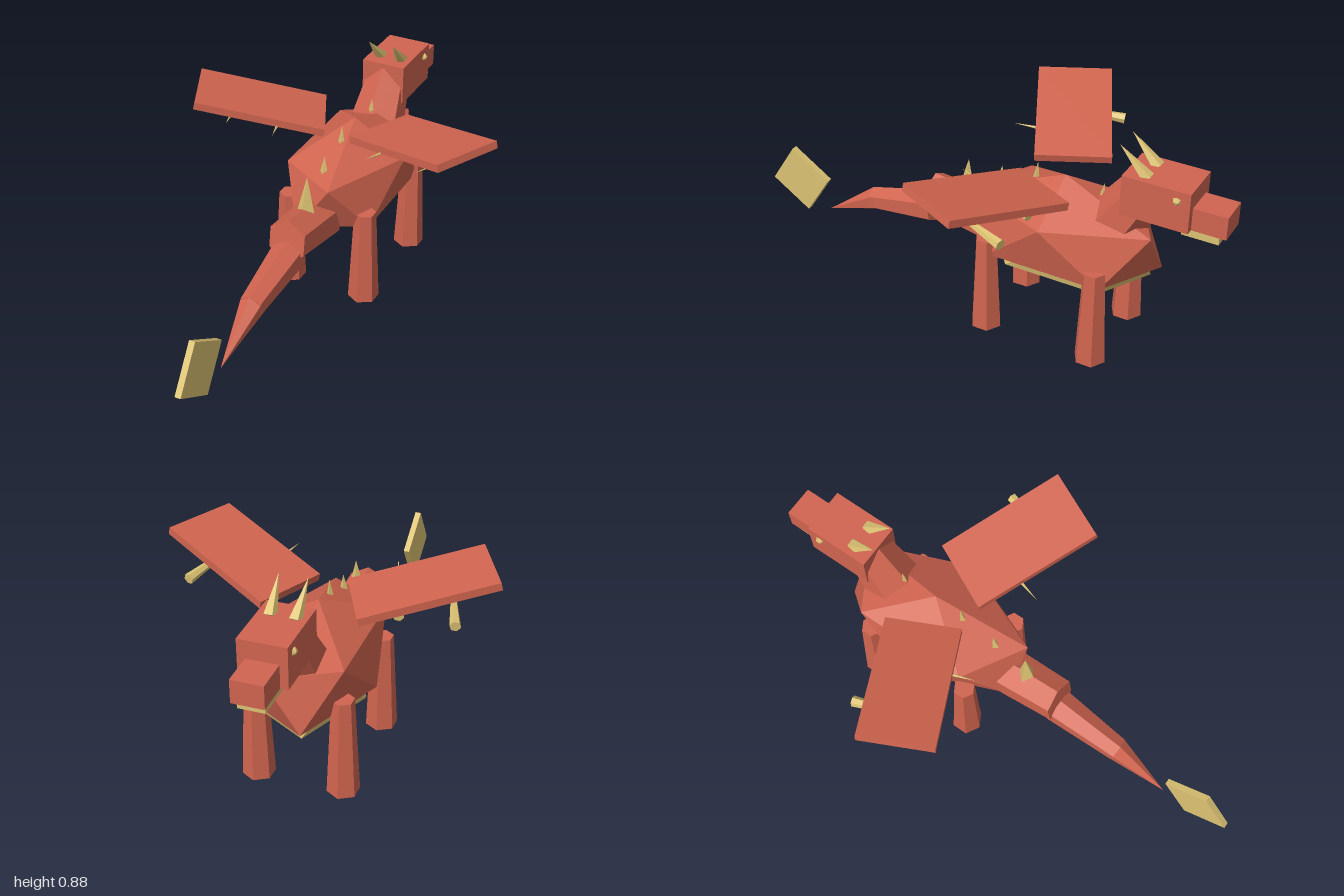
import * as THREE from 'three';

const red = new THREE.MeshStandardMaterial({ color: 0xd0644f, flatShading: true });
const gold = new THREE.MeshStandardMaterial({ color: 0xdcc272, flatShading: true });
const UP = new THREE.Vector3(0, 1, 0);

export function createModel() {
  const model = new THREE.Group();

  const add = (name, geometry, material, x, y, z) => {
    const mesh = new THREE.Mesh(geometry, material);
    mesh.name = name;
    mesh.position.set(x, y, z);
    model.add(mesh);
    return mesh;
  };

  const box = (name, material, size, pos) => add(name, new THREE.BoxGeometry(...size), material, ...pos);

  // Tapered prism running from point a (radius ra) to point b (radius rb)
  const taper = (name, material, a, b, ra, rb, sides = 6) => {
    const start = new THREE.Vector3(...a), end = new THREE.Vector3(...b);
    const axis = end.clone().sub(start);
    const mid = start.add(end).multiplyScalar(0.5);
    const geometry = new THREE.CylinderGeometry(rb, ra, axis.length(), sides);
    const mesh = add(name, geometry, material, mid.x, mid.y, mid.z);
    mesh.quaternion.setFromUnitVectors(UP, axis.normalize());
    return mesh;
  };

  // Twenty-sided solid standing on a corner, stretched to the given radii
  const gem = (name, material, radii, pos) => {
    const geometry = new THREE.IcosahedronGeometry(1, 0);
    geometry.rotateX(-Math.atan((1 + Math.sqrt(5)) / 2)).rotateY(Math.PI / 2).scale(...radii);
    return add(name, geometry, material, ...pos);
  };

  // Torso and belly
  gem('body', red, [0.248, 0.224, 0.44], [0, 0.43, -0.355]);
  gem('belly', gold, [0.21, 0.17, 0.365], [0, 0.365, -0.38]);

  // Neck and head, facing -z
  taper('neck', red, [0, 0.5, -0.55], [0, 0.71, -0.68], 0.115, 0.085);
  box('head', red, [0.18, 0.16, 0.26], [0, 0.695, -0.74]);
  box('snout', red, [0.12, 0.09, 0.13], [0, 0.66, -0.935]);
  box('jaw', gold, [0.1, 0.037, 0.14], [0, 0.598, -0.902]);

  // Tail in three sections with a diamond blade at the end
  taper('tailBase', red, [0, 0.365, -0.065], [0, 0.408, 0.218], 0.094, 0.084);
  taper('tailMiddle', red, [0, 0.342, 0.21], [0, 0.288, 0.495], 0.069, 0.048);
  taper('tailEnd', red, [0, 0.29, 0.48], [0, 0.165, 0.72], 0.05, 0);
  box('tailBlade', gold, [0.024, 0.2, 0.2], [0, 0.27, 0.86]).rotation.x = -0.575;

  // Spikes along the back: [z, base y, tip y, base radius]
  const spikes = [[-0.5, 0.57, 0.665, 0.02], [-0.23, 0.57, 0.675, 0.02], [-0.08, 0.51, 0.615, 0.025], [0.065, 0.45, 0.6, 0.037]];
  for (const [z, base, tip, r] of spikes) {
    taper('backSpike', gold, [0, base, z], [0, tip, z - 0.01], r, 0, 4);
  }

  // Mirrored parts
  for (const s of [1, -1]) {
    const side = s > 0 ? 'left' : 'right';

    for (const [end, z] of [['Front', -0.56], ['Rear', -0.115]]) {
      taper(`${side}${end}Leg`, red, [s * 0.165, 0, z], [s * 0.165, 0.395, z], 0.062, 0.043);
    }

    taper(`${side}Horn`, gold, [s * 0.045, 0.765, -0.69], [s * 0.053, 0.875, -0.582], 0.027, 0, 5);
    add(`${side}Eye`, new THREE.IcosahedronGeometry(0.017, 0), gold, s * 0.088, 0.735, -0.82);

    // Wing slab, swept and raised
    const wing = box(`${side}Wing`, red, [0.515, 0.03, 0.29], [s * 0.345, 0.705, -0.215]);
    wing.rotation.set(0, -s * 0.45, s * 0.22, 'YXZ');

    // Wing ribs pointing backward under the slab
    for (const x of [0.3, 0.505]) {
      taper(`${side}WingRib`, gold, [s * x, 0.645, -0.36], [s * (x - 0.105), 0.685, -0.03], 0.021, 0);
    }
  }

  return model;
}
